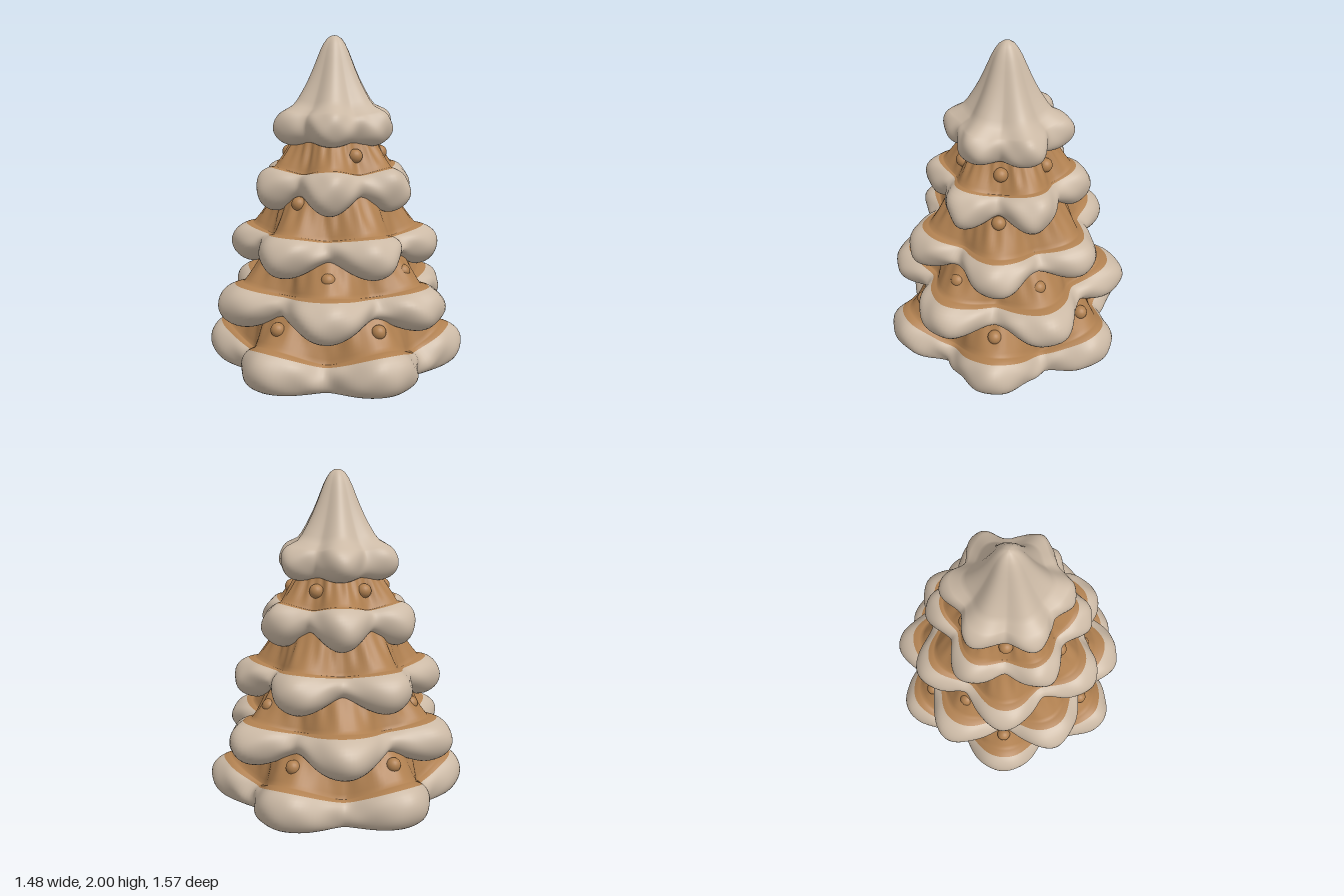
import * as THREE from 'three';

const SEG = 180;
const mix = THREE.MathUtils.lerp;

// Closed surface from rings, listed from the top/outside to the bottom/inside.
// point(i, angle) returns [radius, height] for ring i.
function sweep(rows, point) {
  const pos = [], index = [];
  for (let i = 0; i < rows; i++) {
    for (let j = 0; j < SEG; j++) {
      const a = (j / SEG) * Math.PI * 2;
      const [r, y] = point(i, a);
      pos.push(r * Math.cos(a), y, r * Math.sin(a));
      if (i === rows - 1) continue;
      const k = (j + 1) % SEG;
      const p = i * SEG + j, q = i * SEG + k;
      index.push(p, q, q + SEG, p, q + SEG, p + SEG);
    }
  }
  const g = new THREE.BufferGeometry();
  g.setAttribute('position', new THREE.Float32BufferAttribute(pos, 3));
  g.setIndex(index);
  g.computeVertexNormals();
  return g;
}

// Six rounded lobes: 1 at a lobe's middle, 0 in the valley between lobes
const lobe = (a, phase) => Math.pow(0.5 + 0.5 * Math.cos(6 * (a - phase)), 0.8);

// Gentle lumps, coarser on the small tiers and rougher towards +x
function lumps(a, t, n) {
  const rough = 0.005 + 0.006 * (0.5 + 0.5 * Math.cos(a));
  const m = 15 - 2 * n;
  return rough * (Math.sin(m * a + n) * Math.cos(5 * t + n) + Math.sin((m + 6) * a + 2 * n) * Math.sin(7 * t));
}

const ODD = Math.PI / 6;
// R: lobe reach, V: valley reach, w: puff depth, yc: puff middle, h: puff half height,
// thin: share of that height left in the valleys, rise: lift of the valleys,
// start: where on the puff the snow begins,
// top: [radius, height] where the slope meets the tier above, inner: hidden underside radius
const TIERS = [
  { R: 0.785, V: 0.61, w: 0.13, yc: 0.13, h: 0.13, thin: 0.62, rise: 0, start: 0.14, phase: ODD, top: [0.49, 0.46], inner: 0.5 },
  { R: 0.74, V: 0.56, w: 0.16, yc: 0.43, h: 0.13, thin: 0.48, rise: 0.03, start: 0.12, phase: 0, top: [0.43, 0.75], inner: 0.44 },
  { R: 0.635, V: 0.485, w: 0.14, yc: 0.755, h: 0.125, thin: 0.48, rise: 0.03, start: 0.11, phase: ODD, top: [0.34, 1.1], inner: 0.38 },
  { R: 0.5, V: 0.385, w: 0.12, yc: 1.11, h: 0.13, thin: 0.5, rise: 0.03, start: 0.08, phase: 0, top: [0.235, 1.44], inner: 0.3 },
  { R: 0.385, V: 0.3, w: 0.12, yc: 1.47, h: 0.11, thin: 0.8, rise: 0, start: 0.18, phase: 0, inner: 0.2 },
];

// Point on a snow puff; t runs from its top edge (0) round to its bottom edge (1)
function puffPoint(tier, n, t, a) {
  const L = lobe(a, tier.phase);
  const w = mix(tier.w * 0.55, tier.w, L);
  const h = tier.h * mix(tier.thin, 1, L);
  const yc = n === 0 ? h : tier.yc + tier.rise * (1 - L);
  const s = Math.PI * (0.5 - t);
  const bump = lumps(a, t, n) * Math.sin(Math.PI * t);
  return [
    mix(tier.V, tier.R, L) - w + w * Math.max(0, Math.cos(s)) + bump,
    yc + h * Math.sin(s) + bump * 0.6 * (1 - t),
  ];
}

// Snow tip rings: radius and height
const TIP = [
  [0, 2], [0.022, 1.996], [0.045, 1.98], [0.066, 1.95], [0.086, 1.91], [0.106, 1.86],
  [0.13, 1.8], [0.156, 1.74], [0.186, 1.68], [0.22, 1.62], [0.246, 1.585],
];

export function createModel() {
  const root = new THREE.Group();
  root.name = 'layeredTree';
  const cream = new THREE.MeshStandardMaterial({ color: 0xcbb9a5 });
  cream.name = 'cream';
  const brown = new THREE.MeshStandardMaterial({ color: 0xb08050 });
  brown.name = 'brown';
  const add = (parent, name, geometry, material) => {
    const m = new THREE.Mesh(geometry, material);
    m.name = name;
    parent.add(m);
    return m;
  };

  TIERS.forEach((tier, n) => {
    const group = new THREE.Group();
    group.name = 'tier' + (n + 1);
    root.add(group);
    const puffRows = 17;
    const tipRows = tier.top ? 0 : TIP.length;
    const under = n === 0 ? 0 : 2;

    // Snow: tip rings (top tier only), puffed rim, then the underside
    add(group, 'snowRim', sweep(tipRows + puffRows + under, (i, a) => {
      if (i < tipRows) {
        const f = i / (tipRows - 1);
        const L = lobe(a, tier.phase) - 0.5;
        return [TIP[i][0] * (1 + 0.14 * f * L), TIP[i][1] + 0.02 * f * f * L];
      }
      const k = i - tipRows;
      if (k < puffRows) return puffPoint(tier, n, mix(tier.start, 1, k / (puffRows - 1)), a);
      const edge = puffPoint(tier, n, 1, a);
      const f = (k - puffRows + 1) / under;
      return [mix(edge[0], tier.inner, f), edge[1] + 0.03 * f];
    }), cream);

    // Flat base under the lowest tier
    if (n === 0) {
      add(group, 'base', sweep(2, (i, a) => [i ? 0 : puffPoint(tier, n, 1, a)[0], 0]), cream);
    }

    // Bare slope between this snow rim and the tier above, running onto the puff's top
    if (tier.top) {
      const rows = 12, onPuff = 4;
      add(group, 'slope', sweep(rows + onPuff, (i, a) => {
        if (i >= rows) return puffPoint(tier, n, (tier.start * (i - rows + 1)) / onPuff, a);
        const t = i / (rows - 1);
        const edge = puffPoint(tier, n, 0, a);
        const bend = Math.sin(Math.PI * t);
        const crease = 0.005 * bend * (Math.sin(18 * a + n) + Math.sin(31 * a + 2 * t));
        return [
          mix(tier.top[0], edge[0], t) - 0.008 * bend + crease,
          mix(tier.top[1], edge[1], t),
        ];
      }), brown);
    }
  });

  // Small half-sunk buds: radius, height, phase, places used out of six
  const bud = new THREE.SphereGeometry(0.042, 20, 14);
  const RINGS = [
    [0.572, 0.345, ODD, [0, 1, 2, 3, 4, 5]],
    [0.485, 0.635, 0, [0, 1, 3, 5]],
    [0.365, 1.04, ODD, [1, 5]],
    [0.275, 1.31, ODD, [0, 2, 3, 4, 5]],
  ];
  RINGS.forEach(([r, y, phase, places], n) => {
    const ring = new THREE.Group();
    ring.name = 'budRing' + (n + 1);
    root.add(ring);
    for (const k of places) {
      const a = phase + (k * Math.PI) / 3;
      add(ring, 'bud', bud, brown).position.set(r * Math.cos(a), y, r * Math.sin(a));
    }
  });
  return root;
}
